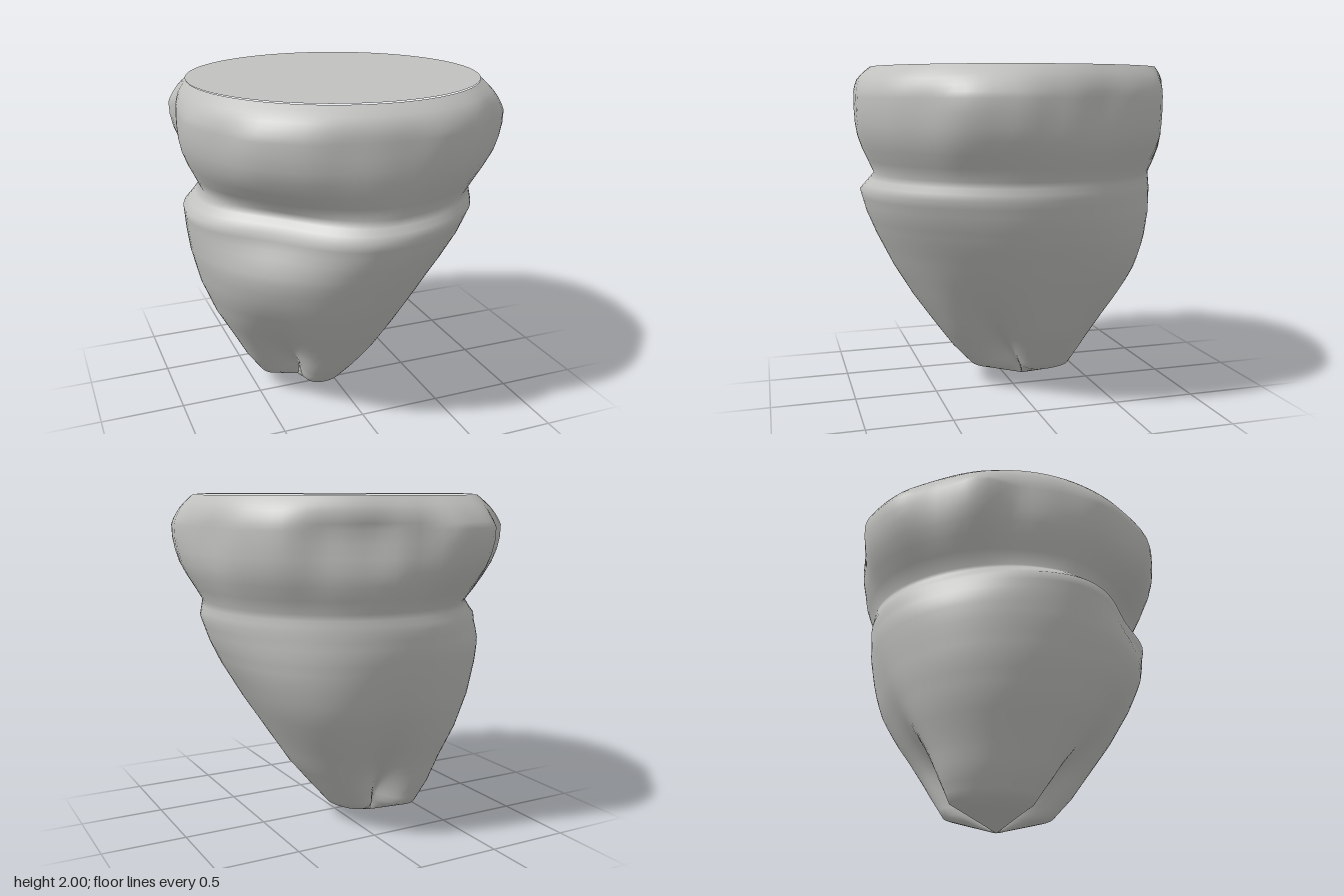
import * as THREE from 'three';

const { lerp, smoothstep, clamp, degToRad } = THREE.MathUtils;
const SEG = 96, STEPS = 3;

// Radius of the bumpy rim every 15 degrees, starting at +x and turning towards +z
const RIM = [.92, .96, .99, .95, .97, .98, .955, .95, .975, .98, .94, .945,
  .92, .91, 1.0, .96, 1.02, 1.01, .92, .87, .88, .94, .93, .9];

// Cross-sections from tip to rim: y, xMin, xMax, zMin, zMax
const RINGS = [
  [0.005, -.22, -.18, -.14, -.10],
  [0.12, -.47, .13, -.46, .24],
  [0.25, -.56, .24, -.53, .36],
  [0.4, -.64, .36, -.59, .47],
  [0.6, -.75, .48, -.68, .61],
  [0.8, -.83, .60, -.75, .73],
  [1.0, -.88, .71, -.80, .83],
  [1.14, -.90, .77, -.83, .89],
  [1.28, -.915, .81, -.84, .93],
  [1.38, -.80, .80, -.82, .85],
  [1.6, -.87, .885, -.91, .92],
  [1.82, -.92, .92, -.95, .97],
  [1.92, -.88, .88, -.90, .92],
  [1.995, -.845, .845, -.85, .855],
];

// Three grooves split the lower end into lobes
const GROOVES = [30, 130, -80].map(degToRad);

function rimRadius(t) {
  const f = t / (Math.PI * 2) * RIM.length, i = Math.floor(f);
  return lerp(RIM[i], RIM[(i + 1) % RIM.length], smoothstep(f - i, 0, 1));
}

// Grooves are deep at the tip and fade out upwards
function grooveFactor(t, y) {
  const depth = 0.85 * Math.exp(-((y / 0.37) ** 1.5));
  return GROOVES.reduce((f, g) => {
    const d = Math.atan2(Math.sin(t - g), Math.cos(t - g));
    return f - depth * Math.exp(-((d / 0.33) ** 2));
  }, 1);
}

// Flats and swellings on the four diagonals: amount, centre height, spread
const DIAGONALS = [[-.05, .9, .4], [-.16, 1.28, .2], [-.05, 1.28, .1], [.11, .8, .38]];

function diagonalFactor(t, y) {
  const [amount, mid, spread] = DIAGONALS[Math.floor(t / (Math.PI / 2))];
  return 1 + amount * Math.exp(-(((y - mid) / spread) ** 2)) * Math.sin(2 * t) ** 2;
}

// Loft the cross-sections into one smooth skin
function bodyGeometry() {
  const pos = [], index = [];
  const last = (RINGS.length - 1) * STEPS;
  for (let j = 0; j <= last; j++) {
    const i = Math.min(Math.floor(j / STEPS), RINGS.length - 2);
    const [y, x0, x1, z0, z1] = RINGS[i].map((v, n) => lerp(v, RINGS[i + 1][n], j / STEPS - i));
    const bumpy = smoothstep(y, 1.36, 1.8) * clamp((1.995 - y) / 0.175, 0, 1);
    for (let k = 0; k < SEG; k++) {
      const t = k / SEG * Math.PI * 2, c = Math.cos(t), s = Math.sin(t);
      const f = grooveFactor(t, y) * diagonalFactor(t, y), r = rimRadius(t);
      const x = (x0 + x1) / 2 + (x1 - x0) / 2 * c * f;
      const z = (z0 + z1) / 2 + (z1 - z0) / 2 * s * f;
      pos.push(lerp(x, r * c, bumpy), y, lerp(z, r * s, bumpy));
      if (j === last) continue;
      const a = j * SEG + k, b = j * SEG + (k + 1) % SEG;
      index.push(a, a + SEG, b, b, a + SEG, b + SEG);
    }
  }
  // Close the tip
  const tip = pos.length / 3;
  pos.push(-.2, 0, -.12);
  for (let k = 0; k < SEG; k++) index.push(tip, k, (k + 1) % SEG);
  const g = new THREE.BufferGeometry();
  g.setAttribute('position', new THREE.Float32BufferAttribute(pos, 3));
  g.setIndex(index);
  g.computeVertexNormals();
  return g;
}

export function createModel() {
  const group = new THREE.Group();
  group.name = 'taperedRock';
  const stone = new THREE.MeshStandardMaterial({ color: 0xc0c0be });
  stone.name = 'stone grey';

  const body = new THREE.Mesh(bodyGeometry(), stone);
  body.name = 'lobedBody';

  // Flat disc on top
  const top = new THREE.Mesh(new THREE.CircleGeometry(0.85, SEG).rotateX(-Math.PI / 2), stone);
  top.name = 'flatTop';
  top.position.y = 2;

  group.add(body, top);
  return group;
}
